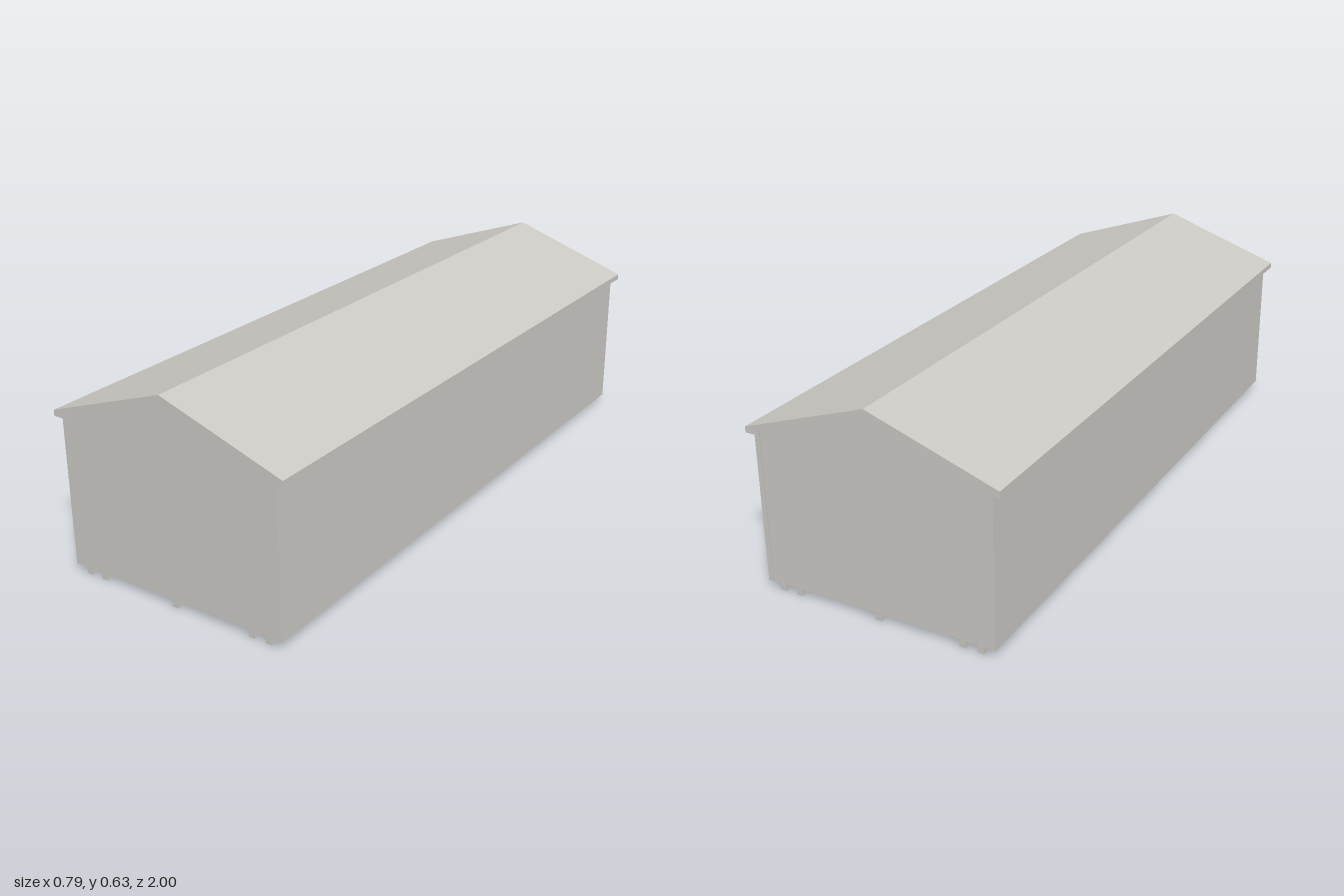
import * as THREE from 'three';

// Extrude an x-y outline along z, between z0 and z1
function prism(points, z0, z1) {
  const shape = new THREE.Shape(points.map(([x, y]) => new THREE.Vector2(x, y)));
  const geometry = new THREE.ExtrudeGeometry(shape, { depth: z1 - z0, bevelEnabled: false });
  return geometry.translate(0, 0, z0);
}

export function createModel() {
  const model = new THREE.Group();
  model.name = 'shed';
  const paleGrey = new THREE.MeshStandardMaterial({ color: 0xcccac5 });
  paleGrey.name = 'paleGrey';

  const add = (name, geometry) => {
    const mesh = new THREE.Mesh(geometry, paleGrey);
    mesh.name = name;
    model.add(mesh);
    return mesh;
  };
  const box = (name, x, y, z, w, h, d) =>
    add(name, new THREE.BoxGeometry(w, h, d)).position.set(x, y, z);

  const base = 0.023;
  const eave = 0.48;

  // Gabled roof with a boxed eave along each side
  add('roof', prism([
    [-0.393, eave], [-0.35, eave], [-0.35, 0.498], [0, 0.613], [0.35, 0.498],
    [0.35, eave], [0.393, eave], [0.393, 0.498], [0, 0.633], [-0.393, 0.498],
  ], -1, 1));

  // Long side walls, open between them at the bottom
  for (const [name, side] of [['leftWall', 1], ['rightWall', -1]]) {
    box(name, side * 0.3605, (base + eave) / 2, 0, 0.015, eave - base, 1.988);
  }

  // Gable end walls, set just inside the ends of the side walls
  const gable = [
    [-0.353, base], [0.353, base], [0.353, eave], [0.348, eave],
    [0.348, 0.497], [0, 0.612], [-0.348, 0.497], [-0.348, eave], [-0.353, eave],
  ];
  add('frontWall', prism(gable, 0.975, 0.99));
  add('backWall', prism(gable, -0.99, -0.975));

  // Skids running the full length underneath
  for (const x of [-0.322, -0.266, 0, 0.266, 0.322]) {
    box('skid', x, base / 2, 0, 0.02, base, 1.98);
  }
  return model;
}
